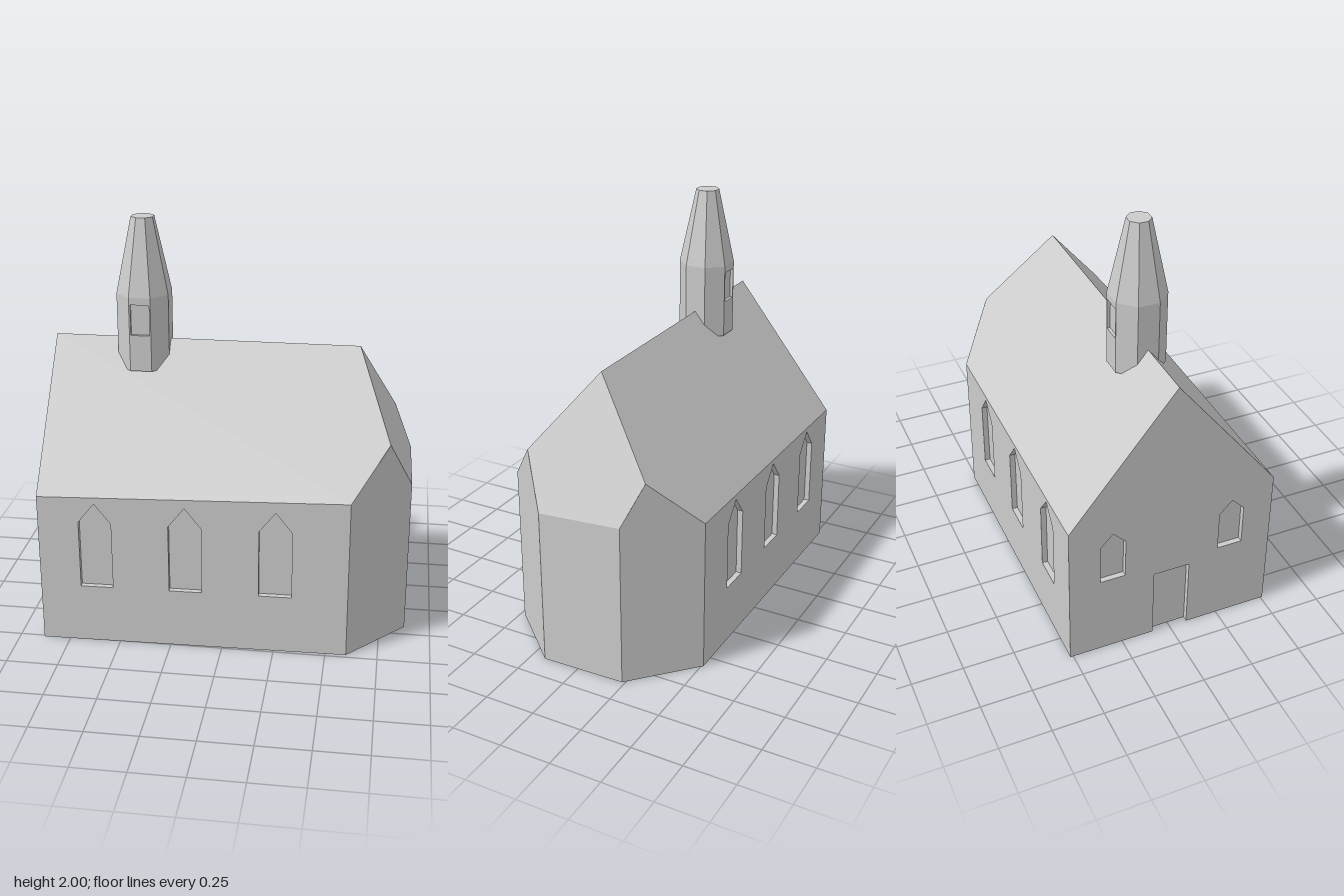
import * as THREE from 'three';
import { mergeGeometries } from 'three/addons/utils/BufferGeometryUtils.js';

const RIDGE = 1.405, APSE_X = 0.6;
const V = (x, y, z) => new THREE.Vector3(x, y, z);
// height of the hipped roof over a plan point
const roofY = (x, z) => Math.min(RIDGE - 1.265 * Math.abs(z), RIDGE - 2.27 * (x - APSE_X));

// flat convex polygons, each given as a loop of points, counter-clockwise from outside
function facets(polys) {
  const pts = [];
  for (const p of polys) for (let i = 1; i < p.length - 1; i++) pts.push(p[0], p[i], p[i + 1]);
  const g = new THREE.BufferGeometry().setFromPoints(pts);
  g.computeVertexNormals();
  return g;
}

function plain(g) {
  const flat = g.index ? g.toNonIndexed() : g;
  flat.deleteAttribute('uv');
  flat.computeVertexNormals();
  return flat;
}

const toShape = (pts) => new THREE.Shape(pts.map(([u, v]) => new THREE.Vector2(u, v)));

// upright panel from plan point a to b, with recessed openings
function wall(a, b, outline, holes, pockets, depth) {
  const shape = toShape(outline);
  for (const h of holes) shape.holes.push(new THREE.Path(h.map(([u, v]) => new THREE.Vector2(u, v))));
  const parts = [plain(new THREE.ShapeGeometry(shape))];
  for (const p of pockets) {
    parts.push(plain(new THREE.ShapeGeometry(toShape(p)).translate(0, 0, -depth)));
    const sides = [];
    p.forEach(([u, v], i) => {
      const [s, t] = p[(i + 1) % p.length];
      if (v === 0 && t === 0) return; // doorway has no sill
      sides.push([V(u, v, 0), V(s, t, 0), V(s, t, -depth), V(u, v, -depth)]);
    });
    parts.push(facets(sides));
  }
  const along = V(b[0] - a[0], 0, b[1] - a[1]).normalize(), up = V(0, 1, 0);
  const m = new THREE.Matrix4().makeBasis(along, up, along.clone().cross(up));
  return mergeGeometries(parts).applyMatrix4(m.setPosition(a[0], 0, a[1]));
}

// window outline with a pointed head
const lancet = (c, w, y0, y1, y2) =>
  [[c - w / 2, y0], [c + w / 2, y0], [c + w / 2, y1], [c, y2], [c - w / 2, y1]];

export function createModel() {
  const group = new THREE.Group();
  const stone = new THREE.MeshStandardMaterial({ color: 0xcccccc, side: THREE.DoubleSide });
  stone.name = 'pale grey';
  const add = (name, geometry) => {
    const mesh = new THREE.Mesh(geometry, stone);
    mesh.name = name;
    group.add(mesh);
    return mesh;
  };

  // plan corners, counter-clockwise from the front of the gable
  const plan = [[-0.88, 0.51], [0.6, 0.48], [0.875, 0.18], [0.865, -0.235], [0.575, -0.51], [-0.88, -0.515]];
  const peaks = { 1: [0.766, 0.2985], 3: [0.777, -0.318], 5: [-0.88, 0] }; // high points of the walls
  const names = ['frontWall', 'frontApseWall', 'endApseWall', 'backApseWall', 'backWall', 'gableWall'];
  const windowX = [-0.605, -0.175, 0.255];
  const door = [[0.425, 0], [0.605, 0], [0.605, 0.37], [0.425, 0.37]];

  // walls
  plan.forEach((a, i) => {
    const b = plan[(i + 1) % 6];
    const length = Math.hypot(b[0] - a[0], b[1] - a[1]);
    const start = i === 5 ? [[0, 0], door[0], door[3], door[2], door[1]] : [[0, 0]];
    const outline = [...start, [length, 0], [length, roofY(...b)]];
    if (peaks[i]) {
      const p = peaks[i];
      outline.push([Math.hypot(p[0] - a[0], p[1] - a[1]), roofY(...p)]);
    }
    outline.push([0, roofY(...a)]);
    let holes = [];
    if (i === 0 || i === 4) holes = windowX.map((x) => lancet(Math.abs(x - a[0]), 0.157, 0.295, 0.635, 0.735));
    if (i === 5) holes = [-0.3, 0.3].map((z) => lancet(z + 0.515, 0.125, 0.42, 0.625, 0.69));
    add(names[i], wall(a, b, outline, holes, i === 5 ? [...holes, door] : holes, 0.027));
  });

  // roof slopes and hipped end
  const on = ([x, z]) => V(x, roofY(x, z), z);
  const [c0, c1, c2, c3, c4, c5] = plan.map(on);
  const p1 = on(peaks[1]), p3 = on(peaks[3]);
  const r0 = V(-0.88, RIDGE, 0), r1 = V(APSE_X, RIDGE, 0);
  add('frontRoof', facets([[r0, c0, c1, p1, r1]]));
  add('backRoof', facets([[r0, r1, p3, c4, c5]]));
  add('hippedRoof', facets([[r1, p1, c2, c3, p3]]));

  // floor, notched at the doorway
  const notch = [[-0.88, -0.09], [-0.853, -0.09], [-0.853, 0.09], [-0.88, 0.09]];
  add('floor', new THREE.ShapeGeometry(toShape([...plan, ...notch])).rotateX(Math.PI / 2));

  // octagonal bell turret
  const turret = new THREE.Group();
  turret.name = 'bellTurret';
  turret.position.x = -0.44;
  group.add(turret);
  const R = 0.125 / Math.cos(Math.PI / 8), base = 1.272, eave = 1.635;
  const side = 2 * R * Math.sin(Math.PI / 8);
  const corner = (k) => {
    const t = (k - 0.5) * Math.PI / 4;
    return [R * Math.sin(t), R * Math.cos(t)];
  };
  const faces = [];
  for (let k = 0; k < 8; k++) {
    const l = side / 2 - 0.045, r = side / 2 + 0.045;
    const opening = k % 4 === 0 ? [[[l, 1.45], [r, 1.45], [r, 1.6], [l, 1.6]]] : [];
    const panel = [[0, base], [side, base], [side, eave], [0, eave]];
    faces.push(wall(corner(k), corner(k + 1), panel, opening, opening, 0.015));
  }
  turret.add(add('turretWalls', mergeGeometries(faces)));
  turret.add(add('turretBase',
    new THREE.CircleGeometry(R, 8, Math.PI / 8).rotateX(Math.PI / 2).translate(0, base, 0)));

  // truncated spire
  const spire = new THREE.CylinderGeometry(0.052 / Math.cos(Math.PI / 8), R, 2 - eave, 8, 1, false, Math.PI / 8);
  turret.add(add('spire', plain(spire.translate(0, (2 + eave) / 2, 0))));
  return group;
}
